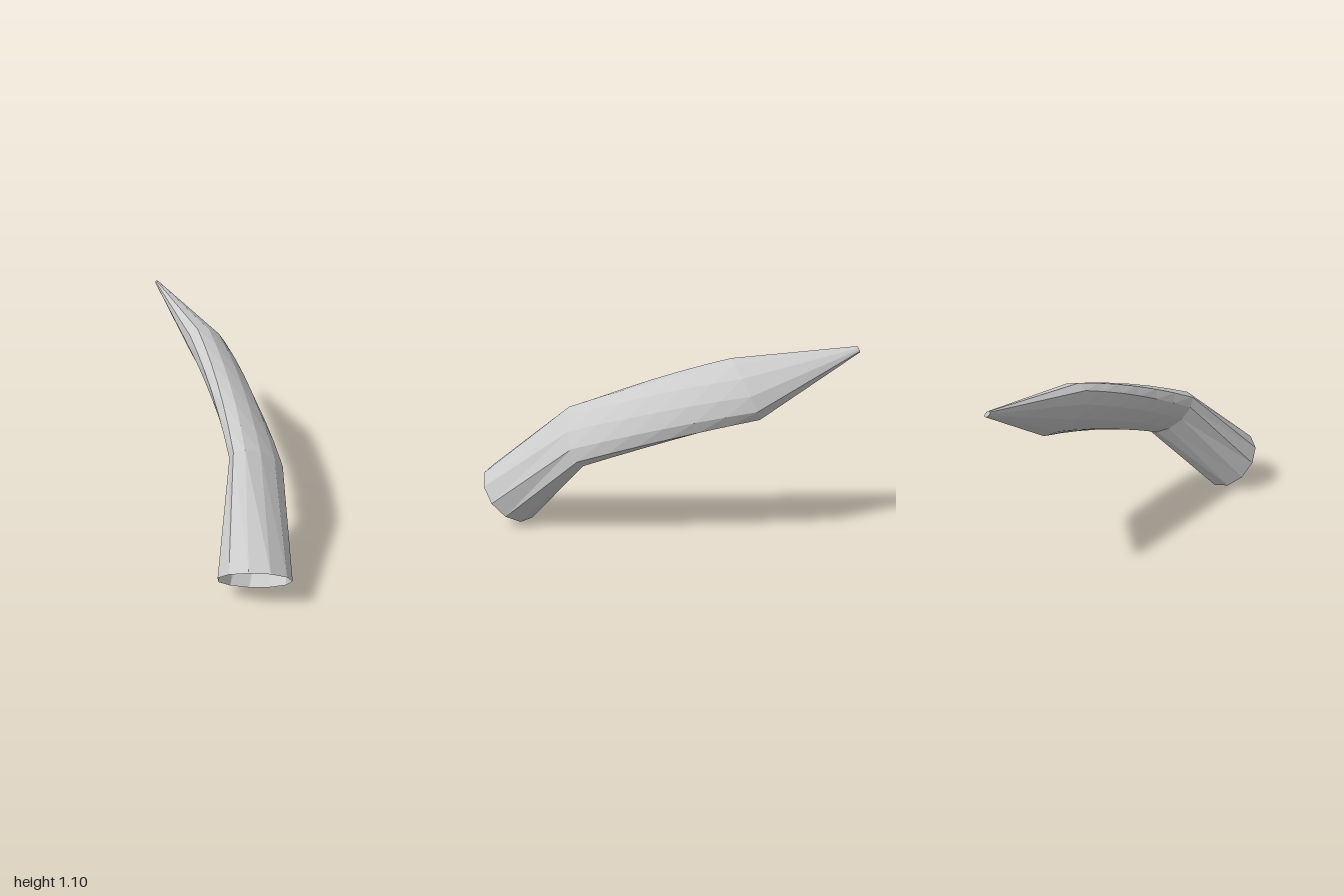
import * as THREE from 'three';

const SIDES = 11;
const v3 = (x, y, z) => new THREE.Vector3(x, y, z);
const ring = (c, u, v, phase = 0) => ({ c, u, v, phase });

// Key sections: centre, long half axis, short half axis, twist in degrees
const base = ring(v3(0.831, 0.152, 0.361), v3(-0.02, 0.113, 0.168), v3(0.166, 0.1, -0.047));
const elbow = ring(v3(0.49, 0.583, 0.03), v3(-0.026, 0.125, 0.155), v3(0.07, 0.065, -0.04));
const shoulder = ring(v3(-0.37, 0.885, -0.365), v3(0.03, 0.14, 0.14), v3(0.04, 0.06, -0.075), 18);
const tip = ring(v3(-0.996, 1.087, -0.484), v3(0.003, 0.014, 0.013), v3(0.004, 0.007, -0.008), 18);

// Round open base, flattened curved middle, tapered tip
function hornRings() {
  const rings = [base];
  const steps = 6;
  const curve = new THREE.QuadraticBezierCurve3(elbow.c, v3(0.07, 0.772, -0.206), shoulder.c);
  for (let i = 0; i <= steps; i++) {
    const t = i / steps;
    rings.push(ring(
      curve.getPoint(t),
      elbow.u.clone().lerp(shoulder.u, t),
      elbow.v.clone().lerp(shoulder.v, t),
      THREE.MathUtils.lerp(elbow.phase, shoulder.phase, t)
    ));
  }
  rings.push(tip);
  return rings;
}

function loftGeometry(rings) {
  const positions = [];
  const index = [];
  for (const { c, u, v, phase } of rings) {
    for (let j = 0; j < SIDES; j++) {
      const a = (j / SIDES) * Math.PI * 2 + THREE.MathUtils.degToRad(phase);
      const p = c.clone().addScaledVector(u, Math.cos(a)).addScaledVector(v, Math.sin(a));
      positions.push(p.x, p.y, p.z);
    }
  }
  // Side walls
  for (let i = 0; i < rings.length - 1; i++) {
    for (let j = 0; j < SIDES; j++) {
      const a = i * SIDES + j;
      const b = i * SIDES + (j + 1) % SIDES;
      index.push(a, b, a + SIDES, b, b + SIDES, a + SIDES);
    }
  }
  // Tip cap
  const last = (rings.length - 1) * SIDES;
  for (let j = 1; j < SIDES - 1; j++) index.push(last, last + j, last + j + 1);

  const geometry = new THREE.BufferGeometry();
  geometry.setAttribute('position', new THREE.Float32BufferAttribute(positions, 3));
  geometry.setIndex(index);
  const flat = geometry.toNonIndexed();
  flat.computeVertexNormals();
  return flat;
}

export function createModel() {
  const group = new THREE.Group();
  group.name = 'curvedHorn';
  const material = new THREE.MeshStandardMaterial({
    color: 0xcccccc, flatShading: true, side: THREE.DoubleSide
  });
  const horn = new THREE.Mesh(loftGeometry(hornRings()), material);
  horn.name = 'horn';
  group.add(horn);
  return group;
}
